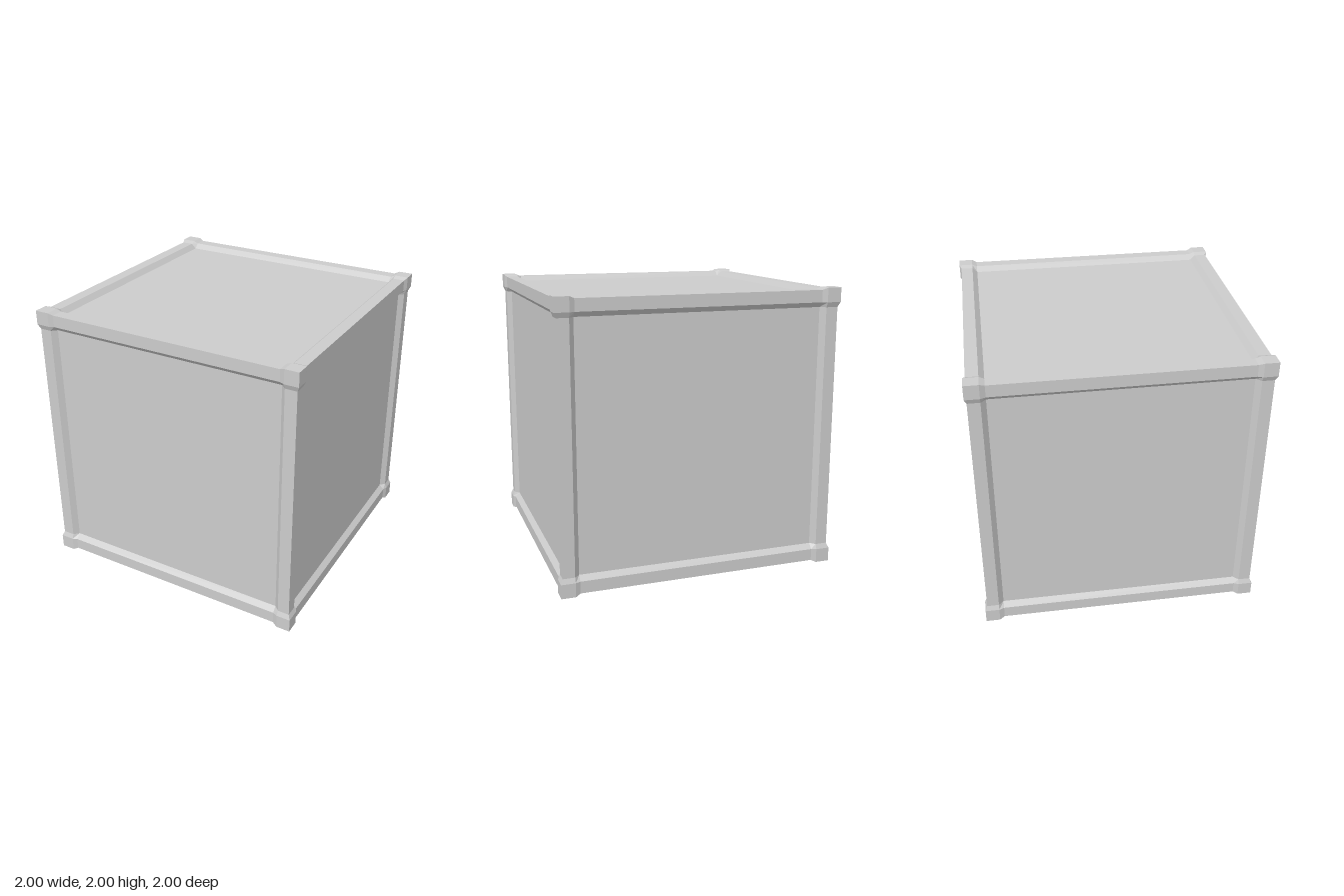
import * as THREE from 'three';

// Distance of the surface from the centre: sunken panel, raised rail, corner block
const DEPTH = { 1: 0.95, 2: 0.985, 3: 1 };
const FRAME = 0.9;   // inner edge of the frame's flat top
const PANEL = 0.865; // foot of the frame's bevel

// Reshape a 5 x 5 x 5 segment box: the outer strips become the frame, the next
// ones the bevels, and the middle ones the panels. A point near two sides lies
// on a rail, and near three sides on a corner block.
function createCrateGeometry() {
  const box = new THREE.BoxGeometry(2, 2, 2, 5, 5, 5);
  const pos = box.attributes.position;
  const p = new THREE.Vector3();
  for (let i = 0; i < pos.count; i++) {
    p.fromBufferAttribute(pos, i);
    const coords = p.toArray();
    const sides = coords.filter((c) => Math.abs(c) > 0.4).length;
    const moved = coords.map((c) => {
      const a = Math.abs(c);
      return Math.sign(c) * (a > 0.8 ? DEPTH[sides] : a > 0.4 ? FRAME : PANEL);
    });
    pos.setXYZ(i, ...moved);
  }
  const geometry = box.toNonIndexed();
  geometry.computeVertexNormals();
  return geometry;
}

export function createModel() {
  const group = new THREE.Group();
  group.name = 'crate';
  const material = new THREE.MeshStandardMaterial({ color: 0xcccccc, flatShading: true });

  // Panels, rails and corner blocks form one closed shell
  const shell = new THREE.Mesh(createCrateGeometry(), material);
  shell.name = 'framedShell';
  shell.position.y = 1;
  group.add(shell);
  return group;
}
